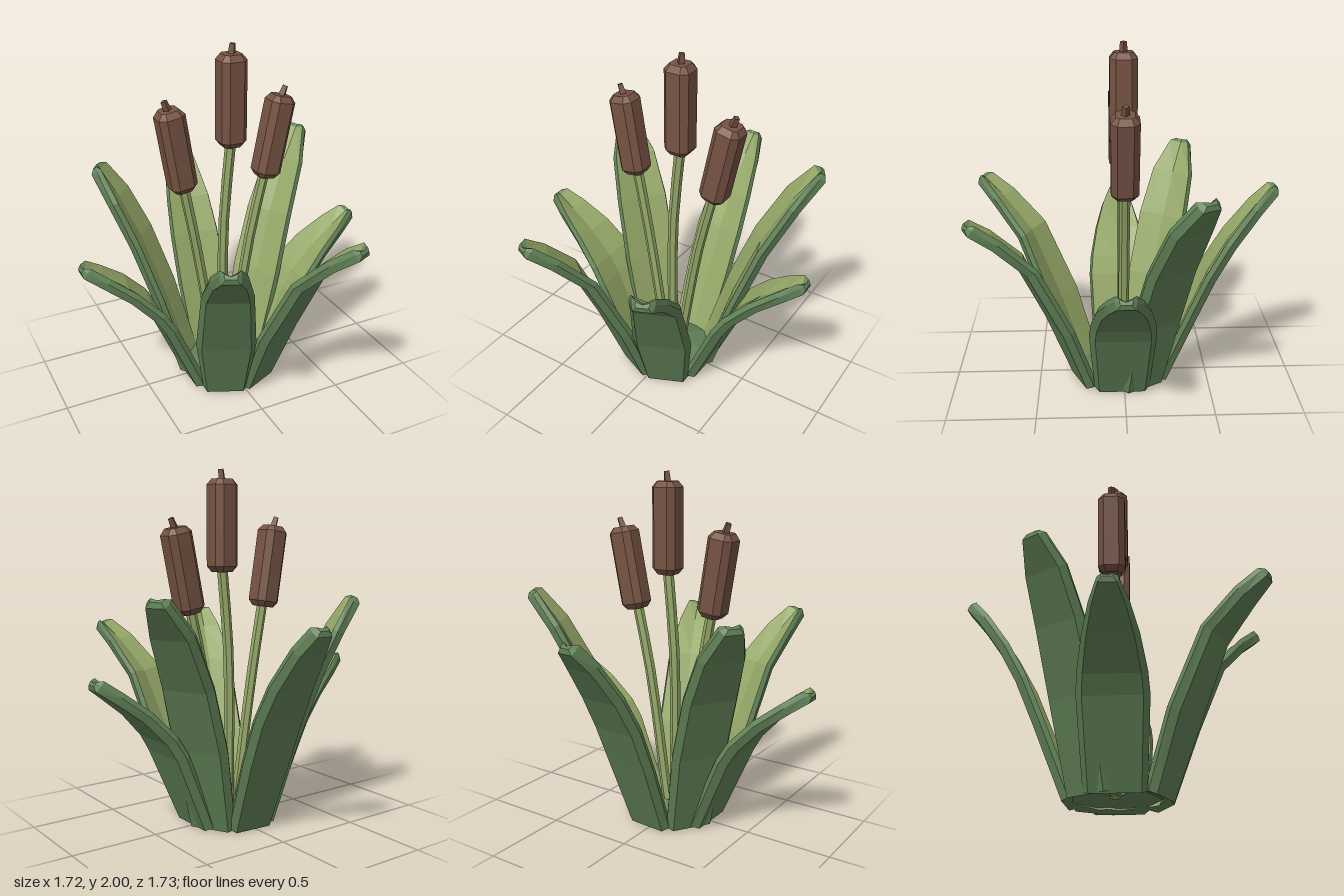
import * as THREE from 'three';

const brown = new THREE.MeshStandardMaterial({ color: 0x765343 });
const lightGreen = new THREE.MeshStandardMaterial({ color: 0x95a868 });
const darkGreen = new THREE.MeshStandardMaterial({ color: 0x628358 });

// Split faces so every facet has its own flat normal
function faceted(geometry) {
  const flat = geometry.index ? geometry.toNonIndexed() : geometry;
  flat.computeVertexNormals();
  return flat;
}

function addMesh(parent, name, geometry, material) {
  const mesh = new THREE.Mesh(geometry, material);
  mesh.name = name;
  parent.add(mesh);
  return mesh;
}

// Leaf cross-section as [share of half width, depth towards the plant's middle]
const SECTION = [[-0.92, 0.036], [0, 0.008], [0.92, 0.036], [1, 0.008], [0.82, -0.033], [-0.82, -0.033], [-1, 0.008]];

// Leaf lofted along a path of [radius, height, half width], leaning towards +z, with a blunt rounded tip
function leafGeometry(path) {
  const n = SECTION.length;
  const [r1, y1] = path[path.length - 2];
  const [r2, y2, half2] = path[path.length - 1];
  const reach = 0.022 / Math.hypot(r2 - r1, y2 - y1);
  const rings = [...path, [r2 + (r2 - r1) * reach, y2 + (y2 - y1) * reach, half2 * 0.6]];
  const positions = [];
  const inner = [];
  const outer = [];
  rings.forEach(([r, y, half], i) => {
    const before = rings[Math.max(i - 1, 0)];
    const after = rings[Math.min(i + 1, rings.length - 1)];
    const dr = after[0] - before[0];
    const dy = after[1] - before[1];
    const len = Math.hypot(dr, dy);
    const slim = i === rings.length - 1 ? 0.4 : 1;
    for (const [u, d] of SECTION) {
      positions.push(u * half, y + d * slim * dr / len, r - d * slim * dy / len);
    }
  });
  const top = (rings.length - 1) * n;
  for (let i = 0; i < rings.length - 1; i++) {
    for (let j = 0; j < n; j++) {
      const a = i * n + j;
      const b = i * n + (j + 1) % n;
      const onFace = j < 2 && i < path.length - 1;
      (onFace ? inner : outer).push(a, b + n, b, a, a + n, b + n);
    }
  }
  // End caps, fanned from the middle of the inner face
  for (let k = 2; k < n; k++) {
    const q = (k + 1) % n;
    outer.push(1, k, q, top + 1, top + q, top + k);
  }
  const geometry = new THREE.BufferGeometry();
  geometry.setAttribute('position', new THREE.Float32BufferAttribute(positions, 3));
  geometry.setIndex([...inner, ...outer]);
  const flat = faceted(geometry);
  flat.addGroup(0, inner.length, 0);
  flat.addGroup(inner.length, outer.length, 1);
  return flat;
}

const sidePath = [[0.22, 0.02, 0.162], [0.41, 0.46, 0.187], [0.47, 0.56, 0.178], [0.6, 0.7, 0.145], [0.74, 0.81, 0.1], [0.835, 0.88, 0.055]];
const frontLeftPath = [[0.26, 0.02, 0.13], [0.41, 0.42, 0.168], [0.6, 0.82, 0.138], [0.78, 1.0, 0.1], [0.9, 1.09, 0.06]];
const frontRightPath = [[0.26, 0.02, 0.13], [0.41, 0.42, 0.168], [0.6, 0.84, 0.138], [0.78, 1.03, 0.1], [0.9, 1.13, 0.055]];
const backPath = [[0.23, 0.02, 0.135], [0.39, 0.42, 0.155], [0.5, 0.68, 0.157], [0.61, 0.88, 0.14], [0.75, 1.08, 0.1], [0.84, 1.185, 0.055]];
const backLeftPath = [[0.22, 0.02, 0.14], [0.37, 0.5, 0.165], [0.51, 0.86, 0.155], [0.67, 1.15, 0.13], [0.8, 1.322, 0.065]];
const backRightPath = [[0.22, 0.02, 0.14], [0.36, 0.5, 0.165], [0.49, 0.86, 0.16], [0.61, 1.11, 0.135], [0.71, 1.275, 0.065]];

// Leaves as [name, heading in degrees from the front, path, shift in z]
const LEAVES = [
  ['leftLeaf', 90, sidePath, 0.014],
  ['rightLeaf', -90, sidePath, 0.014],
  ['frontLeftLeaf', 24, frontLeftPath, 0],
  ['frontRightLeaf', -24, frontRightPath, 0],
  ['backLeaf', 176, backPath, 0],
  ['backLeftLeaf', 119, backLeftPath, 0],
  ['backRightLeaf', -123, backRightPath, 0],
];

// Cattails as stem points [x, y] from the ground to the head, head lean, spike lean, head length
const CATTAILS = [
  ['middleCattail', [[0, 0.06], [0, 0.95], [0.045, 1.47]], 0, -0.1, 0.51],
  ['rightCattail', [[-0.05, 0.06], [-0.17, 0.85], [-0.245, 1.26]], 0.16, 0.2, 0.47],
  ['leftCattail', [[0.05, 0.06], [0.17, 0.85], [0.26, 1.25]], -0.2, -0.2, 0.475],
];

// Square bar with cut corners and bevelled ends, standing on y = 0
function headGeometry(length) {
  const w = 0.075, c = 0.042, bevel = 0.032;
  const outline = [[w, -c], [w, c], [c, w], [-c, w], [-w, c], [-w, -c], [-c, -w], [c, -w]]
    .map(([x, y]) => new THREE.Vector2(x, y));
  const geometry = new THREE.ExtrudeGeometry(new THREE.Shape(outline), {
    depth: length - 2 * bevel, bevelThickness: bevel, bevelSize: 0.025, bevelOffset: -0.025, bevelSegments: 1,
  });
  return faceted(geometry.translate(0, 0, bevel).rotateX(-Math.PI / 2));
}

function cattail(name, points, lean, spikeLean, length) {
  const group = new THREE.Group();
  group.name = name;
  const curve = new THREE.CatmullRomCurve3(points.map(([x, y]) => new THREE.Vector3(x, y, 0)));
  addMesh(group, 'stem', faceted(new THREE.TubeGeometry(curve, 6, 0.03, 6)), lightGreen);
  const foot = addMesh(group, 'stemFoot', faceted(new THREE.CylinderGeometry(0.03, 0.025, 0.02, 6)), lightGreen);
  foot.position.set(points[0][0], points[0][1], 0);

  const head = new THREE.Group();
  head.name = 'seedHead';
  const [x, y] = points[points.length - 1];
  head.position.set(x, y - 0.03, 0);
  head.rotation.z = lean;
  group.add(head);
  addMesh(head, 'headBody', headGeometry(length), brown);

  // Small bent spike
  const spike = addMesh(head, 'spike', faceted(new THREE.CylinderGeometry(0.018, 0.024, 0.07, 4)), brown);
  spike.position.set(-0.04 * spikeLean, length + 0.018, 0);
  spike.rotation.z = spikeLean;
  return group;
}

export function createModel() {
  const model = new THREE.Group();
  model.name = 'cattailPlant';

  for (const [name, degrees, path, shift] of LEAVES) {
    const leaf = addMesh(model, name, leafGeometry(path), [lightGreen, darkGreen]);
    leaf.rotation.y = THREE.MathUtils.degToRad(degrees);
    leaf.position.z = shift;
  }

  // Low hollow crown joining the leaf bases around the stems
  const rim = [[0.07, 0.07], [0.25, 0.03], [0.25, 0.045], [0.07, 0.1], [0.07, 0.07]]
    .map(([r, y]) => new THREE.Vector2(r, y));
  addMesh(model, 'crown', faceted(new THREE.LatheGeometry(rim, 7)), darkGreen);

  for (const spec of CATTAILS) model.add(cattail(...spec));
  return model;
}
